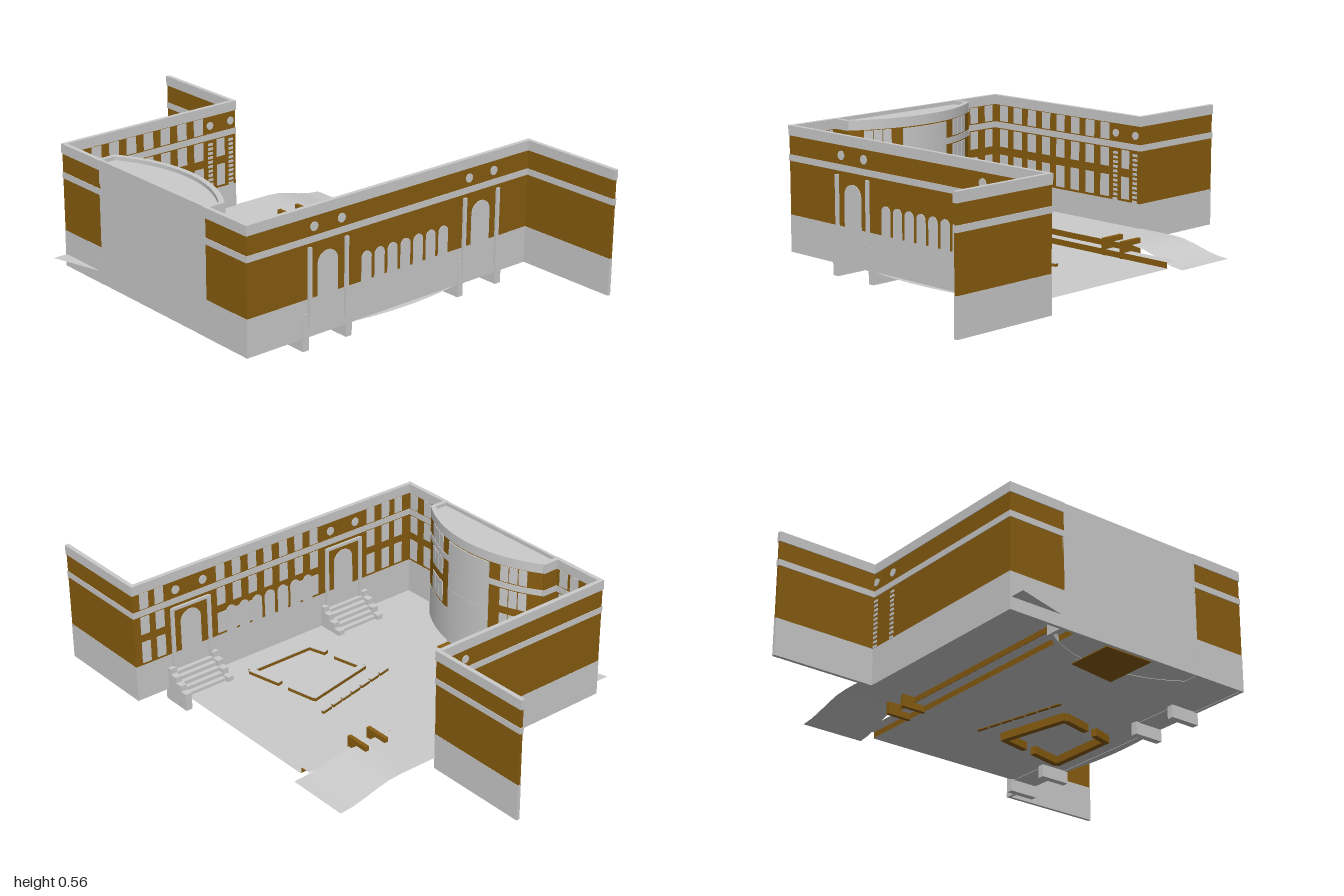
import * as THREE from 'three';

const grey = new THREE.MeshStandardMaterial({ color: 0xcccccc, side: THREE.DoubleSide });
const brick = new THREE.MeshStandardMaterial({ color: 0x895d10, side: THREE.DoubleSide });

// wall courses: bottom, top, material, thickness
const COURSES = [
  [0.05, 0.2, grey, 0.014], [0.2, 0.415, brick, 0.012], [0.415, 0.44, grey, 0.017],
  [0.44, 0.515, brick, 0.012], [0.515, 0.555, grey, 0.018],
];
const ROWS = [[0.21, 0.3], [0.335, 0.41], [0.445, 0.512]];

function add(parent, name, geo, mat, x = 0, y = 0, z = 0) {
  const m = new THREE.Mesh(geo, mat);
  m.name = name;
  m.position.set(x, y, z);
  parent.add(m);
  return m;
}
function box(parent, name, mat, x0, x1, y0, y1, z0, z1) {
  return add(parent, name, new THREE.BoxGeometry(x1 - x0, y1 - y0, z1 - z0), mat,
    (x0 + x1) / 2, (y0 + y1) / 2, (z0 + z1) / 2);
}
// group whose local x runs from point a to point b on the ground plan
function run(parent, name, a, b) {
  const g = new THREE.Group();
  g.name = name;
  g.position.set(a[0], 0, a[1]);
  g.rotation.y = -Math.atan2(b[1] - a[1], b[0] - a[0]);
  g.userData.length = Math.hypot(b[0] - a[0], b[1] - a[1]);
  parent.add(g);
  return g;
}
function wall(parent, name, a, b) {
  const g = run(parent, name, a, b), L = g.userData.length;
  for (const [y0, y1, mat, t] of COURSES) box(g, 'course', mat, -t / 2, L + t / 2, y0, y1, -t / 2, t / 2);
  return g;
}
// side = +1 or -1 picks the face of the wall
function windowColumn(g, x, w, side, rows = ROWS) {
  for (const [y0, y1] of rows) box(g, 'window', grey, x - w / 2, x + w / 2, y0, y1, side * 0.007 - 0.002, side * 0.007 + 0.002);
}
function arch(g, x, w, y0, y1) {
  const s = new THREE.Shape(), r = w / 2;
  s.moveTo(-r, y0).lineTo(r, y0).lineTo(r, y1 - r).absarc(0, y1 - r, r, 0, Math.PI, false).lineTo(-r, y0);
  add(g, 'arch', new THREE.ExtrudeGeometry(s, { depth: 0.018, bevelEnabled: false, curveSegments: 16 }), grey, x, 0, -0.009);
}
function roundel(g, x, y, r) {
  add(g, 'roundWindow', new THREE.CylinderGeometry(r, r, 0.018, 20).rotateX(Math.PI / 2), grey, x, y, 0);
}
function flat(parent, name, shape, mat, y, depth = 0) {
  const geo = depth ? new THREE.ExtrudeGeometry(shape, { depth, bevelEnabled: false, curveSegments: 24 })
    : new THREE.ShapeGeometry(shape, 24);
  return add(parent, name, geo.rotateX(-Math.PI / 2), mat, 0, y, 0);
}
const plan = pts => new THREE.Shape(pts.map(([x, z]) => new THREE.Vector2(x, -z)));

export function createModel() {
  const model = new THREE.Group();

  // front wall: arches, round windows, pilasters, courtyard windows
  const front = wall(model, 'frontWall', [-0.67, 0.55], [0.725, 0.55]);
  const fx = x => x + 0.67;
  for (const [l, r] of [[-0.39, -0.215], [0.38, 0.555]]) {
    const c = (l + r) / 2;
    arch(front, fx(c), 0.095, 0.19, 0.37);
    for (const s of [-1, 1]) {
      roundel(front, fx(c + s * 0.065), 0.475, 0.018);
      box(front, 'pilaster', grey, fx(c + s * 0.0875) - 0.007, fx(c + s * 0.0875) + 0.007, 0.085, 0.4, -0.016, 0.016);
    }
    box(front, 'portalLintel', grey, fx(l), fx(r), 0.39, 0.402, -0.016, -0.005);
  }
  for (let i = 0; i < 7; i++) arch(front, fx(-0.115 + i * 0.0645), 0.048, 0.19, 0.315);
  for (let i = 0; i < 7; i++) windowColumn(front, fx(-0.15 + i * 0.078), 0.04, -1);
  for (const x of [-0.6, -0.53, -0.45, 0.61, 0.68]) windowColumn(front, fx(x), 0.04, -1);
  wall(model, 'frontWing', [0.725, 0.55], [0.725, 0.99]);

  // back wall: courtyard windows and quoined doorway
  const back = wall(model, 'backWall', [-0.67, -0.56], [0.155, -0.56]);
  for (let i = 0; i < 8; i++) windowColumn(back, 0.06 + i * 0.083, 0.045, 1);
  for (const x of [0.03, 0.135]) {
    for (let i = 0; i < 11; i++) box(back, 'quoin', grey, fx(x) - 0.011, fx(x) + 0.011, 0.2 + i * 0.019, 0.21 + i * 0.019, -0.009, 0.01);
    roundel(back, fx(x), 0.475, 0.016);
  }
  windowColumn(back, fx(0.083), 0.04, 1, ROWS.slice(0, 2));
  wall(model, 'backWing', [0.155, -0.56], [0.155, -0.99]);

  // side walls either side of the bay, with the plain closing wall behind it
  for (const s of [-1, 1]) {
    const ends = [[-0.67, s * 0.55], [-0.67, s * 0.325]];
    const g = wall(model, 'sideWall', ...(s > 0 ? ends : ends.reverse()));
    for (const d of [0.037, 0.122, 0.18]) windowColumn(g, s > 0 ? d : 0.225 - d, 0.042, 1);
    wall(model, 'bayShoulder', [-0.67, s * 0.325], [-0.6, s * 0.325]);
  }
  box(model, 'bayBackWall', grey, -0.676, -0.664, 0.05, 0.555, -0.325, 0.325);

  // curved bay
  const bay = new THREE.Group();
  bay.name = 'curvedBay';
  model.add(bay);
  const R = 0.578, CX = -1.078, HALF = 0.597;
  const strip = (name, mat, a0, a1, r0, r1, y0, y1) => {
    const s = new THREE.Shape();
    s.absarc(CX, 0, r1, a0, a1, false);
    s.absarc(CX, 0, r0, a1, a0, true);
    flat(bay, name, s, mat, y0, y1 - y0);
  };
  for (const [y0, y1, mat, t] of COURSES) strip('bayCourse', mat, -HALF, HALF, R - 0.012, R + t / 2, y0, y1);
  strip('bayPortal', grey, -0.2, 0.2, R, R + 0.012, 0.05, 0.3);
  strip('bayPortalUpper', grey, -0.2, 0.2, R, R + 0.011, 0.3, 0.51);
  for (const s of [-1, 1]) for (let i = 0; i < 3; i++) for (const [y0, y1] of ROWS) {
    const a = s * (0.32 + i * 0.068);
    strip('bayWindow', grey, a - 0.03, a + 0.03, R, R + 0.0095, y0, y1);
  }
  const roof = new THREE.Shape();
  roof.moveTo(-0.67, -0.325).lineTo(-0.6, -0.325).absarc(CX, 0, R, -HALF, HALF, false).lineTo(-0.67, 0.325);
  flat(bay, 'bayRoof', roof, grey, 0.53, 0.01);

  // courtyard ground with bowed front apron
  const ground = new THREE.Shape();
  ground.moveTo(-0.67, 0.265).lineTo(-0.67, -0.55).lineTo(-0.21, -0.55)
    .bezierCurveTo(-0.05, -0.59, 0.2, -0.59, 0.37, -0.55).lineTo(0.565, -0.55).lineTo(0.565, 0.265);
  flat(model, 'ground', ground, grey, 0.052);
  flat(model, 'bayPaving', plan([[-0.66, -0.11], [-0.465, -0.11], [-0.435, 0.105], [-0.66, 0.105]]), brick, 0.048, 0.007);

  // raised back terrace falling away at the open end
  const terrace = new THREE.PlaneGeometry(1, 1, 24, 6).rotateX(-Math.PI / 2);
  const p = terrace.attributes.position;
  for (let i = 0; i < p.count; i++) {
    const u = p.getX(i) + 0.5, v = p.getZ(i) + 0.5;
    const x0 = -0.74 + 0.07 * v, x = x0 + u * (0.615 - x0);
    const k = THREE.MathUtils.smoothstep(x, 0.34, 0.615);
    p.setXYZ(i, x, 0.1 - 0.05 * k, -0.56 + 0.25 * v + 0.02 * k * v);
  }
  terrace.computeVertexNormals();
  add(model, 'terrace', terrace, grey);
  const sheet = (name, mat, w, h, y, z, rx) =>
    add(model, name, new THREE.PlaneGeometry(w, h).rotateX(rx), mat, -0.055, y, z);
  sheet('lowerRiser', brick, 1.23, 0.024, 0.064, -0.265, 0);
  sheet('stepTread', grey, 1.23, 0.045, 0.076, -0.2875, -Math.PI / 2);
  box(model, 'upperRiser', brick, -0.67, 0.35, 0.076, 0.1, -0.312, -0.31);
  for (const x of [0.235, 0.328]) box(model, 'stepCheek', brick, x - 0.008, x + 0.008, 0.05, 0.12, -0.365, -0.26);

  // entrance stairs: stepped cheeks and treads
  for (const [l, r] of [[-0.407, -0.2], [0.368, 0.572]]) {
    for (const x of [l, r]) {
      const s = new THREE.Shape();
      s.moveTo(0.56, 0).lineTo(0.56, 0.145);
      for (let i = 0; i < 4; i++) s.lineTo(0.525 - i * 0.032, 0.145 - i * 0.024).lineTo(0.525 - i * 0.032, 0.121 - i * 0.024);
      s.lineTo(0.429, 0);
      const geo = new THREE.ExtrudeGeometry(s, { depth: 0.028, bevelEnabled: false }).rotateY(-Math.PI / 2);
      add(model, 'stairCheek', geo, grey, x + 0.014, 0, 0);
    }
    for (let i = 0; i < 5; i++) box(model, 'stairTread', grey, l + 0.014, r - 0.014, 0.05, 0.065 + i * 0.015, 0.445 + i * 0.02, 0.465 + i * 0.02);
  }

  // low brick planter walls with grey caps
  const kerb = (a, b, t, y0, y1) => {
    const g = run(model, 'planterWall', a, b), L = g.userData.length;
    box(g, 'brickwork', brick, 0, L, y0, y1 - 0.003, -t / 2, t / 2);
    box(g, 'cap', grey, 0, L, y1 - 0.003, y1, -t / 2, t / 2);
  };
  const ring = [
    [[-0.1, 0.17], [0.21, 0.105]], [[0.2, 0.105], [0.226, 0.23]], [[0.235, 0.28], [0.268, 0.43]],
    [[0.27, 0.43], [-0.04, 0.43]], [[-0.03, 0.435], [-0.055, 0.35]], [[-0.065, 0.3], [-0.095, 0.17]],
  ];
  for (const [a, b] of ring) kerb(a, b, 0.025, 0.02, 0.068);
  for (let i = 0; i < 7; i++) {
    const at = t => [-0.16 + 0.41 * t, 0.095 - 0.09 * t];
    kerb(at(i / 7), at((i + 0.85) / 7), 0.013, 0.048, 0.066);
  }
  return model;
}
